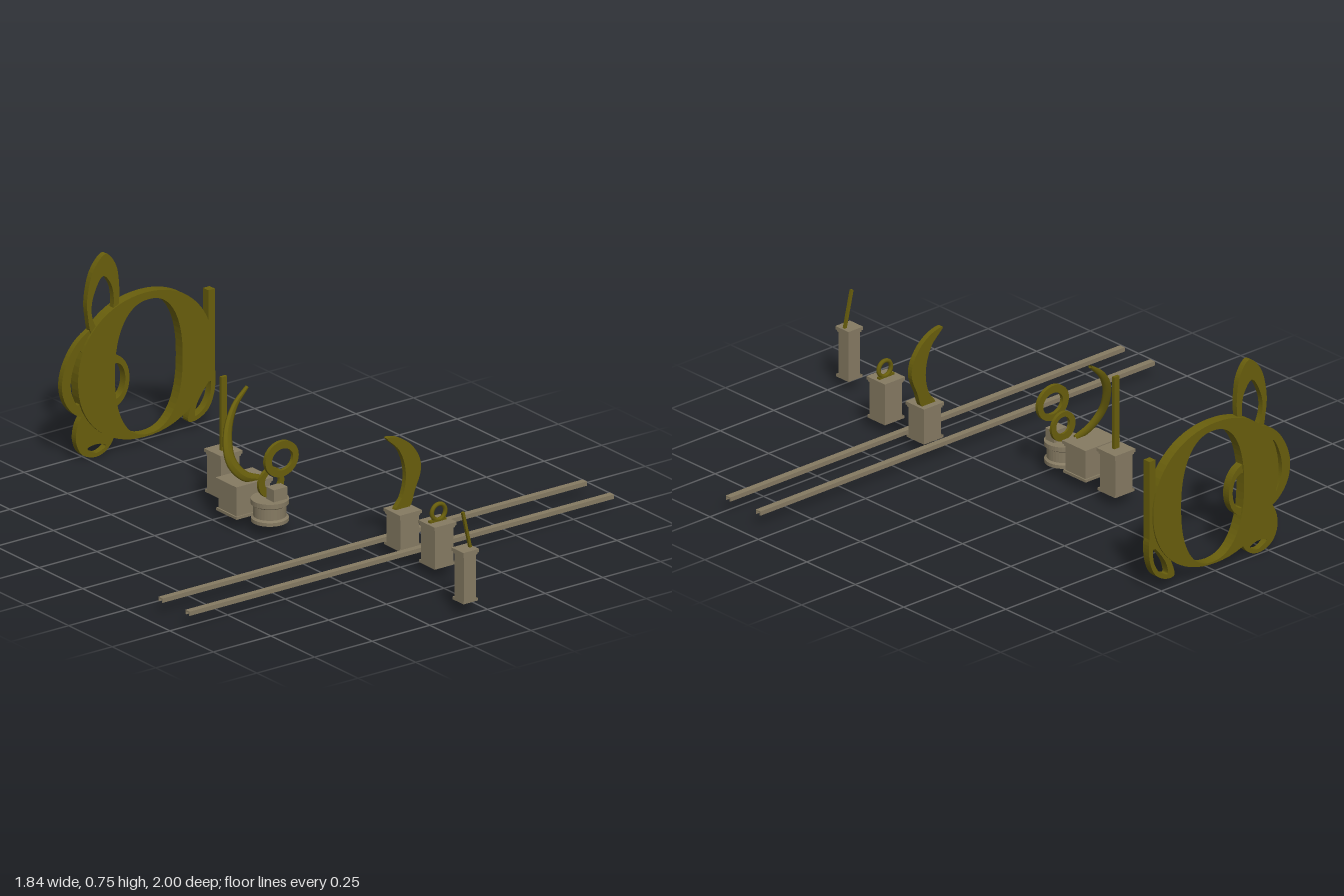
import * as THREE from 'three';

const stone = new THREE.MeshStandardMaterial({ color: 0x857a62, side: THREE.DoubleSide });
stone.name = 'stone';
const bronze = new THREE.MeshStandardMaterial({ color: 0x685e0c, side: THREE.DoubleSide });
bronze.name = 'olive bronze';

export function createModel() {
  const model = new THREE.Group();
  const add = (name, geo, mat, x = 0, y = 0, z = 0, parent = model) => {
    const mesh = new THREE.Mesh(geo, mat);
    mesh.name = name;
    mesh.position.set(x, y, z);
    parent.add(mesh);
    return mesh;
  };
  const box = (name, mat, w, h, d, x, y, z, parent) =>
    add(name, new THREE.BoxGeometry(w, h, d), mat, x, y, z, parent);

  // Closed smooth outlines through a few points, extruded around a z centre
  const curvePoints = (pts) => new THREE.CatmullRomCurve3(
    pts.map(([x, y]) => new THREE.Vector3(x, y, 0)), true, 'centripetal')
    .getPoints(56).slice(0, -1).map((p) => new THREE.Vector2(p.x, p.y));
  const oval = (cx, cy, rx, ry, power = 2) => Array.from({ length: 64 }, (_, i) => {
    const a = i / 64 * Math.PI * 2, c = Math.cos(a), s = Math.sin(a), e = 2 / power;
    return new THREE.Vector2(cx + rx * Math.sign(c) * Math.abs(c) ** e,
      cy + ry * Math.sign(s) * Math.abs(s) ** e);
  });
  const plate = (name, outer, hole, depth, z, parent = model) => {
    const shape = new THREE.Shape(outer);
    if (hole) shape.holes.push(new THREE.Path(hole));
    const geo = new THREE.ExtrudeGeometry(shape, { depth, bevelEnabled: false });
    return add(name, geo, bronze, 0, 0, z - depth / 2, parent);
  };

  // Rails: long channels open underneath
  const profile = new THREE.Shape([[-.012, 0], [-.008, 0], [-.008, .011], [.008, .011],
    [.008, 0], [.012, 0], [.012, .016], [-.012, .016]].map((p) => new THREE.Vector2(...p)));
  for (const z of [0.34, 0.495]) {
    const geo = new THREE.ExtrudeGeometry(profile, { depth: 1.84, bevelEnabled: false });
    geo.rotateY(Math.PI / 2);
    add('rail', geo, stone, -0.92, 0.04, z);
  }

  // Pedestals: hollow shaft, open foot moulding and a wider cap
  const pedestal = (name, x, z, w, d, top, closed = false) => {
    const g = new THREE.Group();
    g.name = name;
    g.position.set(x, 0, z);
    model.add(g);
    const walls = (part, sx, sz, y0, y1) => {
      const geo = new THREE.CylinderGeometry(Math.SQRT1_2, Math.SQRT1_2, 1, 4, 1, !closed).toNonIndexed();
      geo.computeVertexNormals();
      geo.rotateY(Math.PI / 4);
      geo.scale(sx, y1 - y0, sz);
      add(part, geo, stone, 0, (y0 + y1) / 2, 0, g);
    };
    walls('foot', w - 0.004, d - 0.004, 0.043, 0.053);
    walls('shaft', w - 0.015, d - 0.015, 0.043, top - 0.01);
    box('cap', stone, w, 0.012, d, 0, top - 0.006, 0, g);
    box('capMoulding', stone, w - 0.008, 0.008, d - 0.008, 0, top - 0.016, 0, g);
  };
  pedestal('frontPedestal', -0.07, 0.965, 0.068, 0.068, 0.235);
  pedestal('ringPedestal', 0.062, 0.63, 0.095, 0.095, 0.2);
  pedestal('crescentPedestal', 0.068, 0.422, 0.095, 0.095, 0.178);
  pedestal('ribbonPedestal', -0.17, -0.172, 0.16, 0.12, 0.165, true);
  pedestal('postPedestal', -0.128, -0.348, 0.095, 0.095, 0.204);

  // Round pedestal with stepped rims
  const round = [[0, .043], [.066, .043], [.066, .056], [.058, .062], [.058, .102],
    [.067, .108], [.067, .125], [0, .125]].map((p) => new THREE.Vector2(...p));
  const drum = new THREE.LatheGeometry(round, 32).toNonIndexed();
  drum.computeVertexNormals();
  add('roundPedestal', drum, stone, -0.155, 0, -0.045);
  box('ringBlock', stone, 0.06, 0.045, 0.045, -0.14, 0.147, -0.025);

  // Leaning rod, small ring and tall post
  const rod = box('leaningRod', bronze, 0.01, 0.142, 0.01, -0.065, 0.302, 0.965);
  rod.rotation.z = 0.23;
  add('smallRing', new THREE.TorusGeometry(0.029, 0.008, 8, 32), bronze, 0.067, 0.233, 0.63);
  box('smallRingFoot', bronze, 0.07, 0.008, 0.014, 0.062, 0.203, 0.63);
  box('tallPost', bronze, 0.024, 0.275, 0.012, -0.13, 0.34, -0.345);

  // Standing crescent
  plate('crescent', curvePoints([[.005, .452], [.05, .445], [.105, .41], [.145, .35], [.15, .3],
    [.125, .235], [.1, .175], [.04, .175], [.07, .22], [.085, .28], [.08, .34], [.055, .4]]),
  null, 0.02, 0.408);

  // Paired rings over the round pedestal
  plate('upperRing', oval(-0.122, 0.27, 0.072, 0.066), oval(-0.12, 0.268, 0.046, 0.04), 0.014, -0.025);
  plate('lowerRing', oval(-0.148, 0.18, 0.055, 0.055), oval(-0.145, 0.185, 0.032, 0.032), 0.012, -0.05);

  // Curling ribbon: tapered diamond sections swept along a curve
  const path = new THREE.CatmullRomCurve3([[-.135, .165, -.13], [-.2, .19, -.134], [-.245, .25, -.15],
    [-.235, .34, -.182], [-.185, .42, -.21], [-.12, .475, -.223]].map((p) => new THREE.Vector3(...p)));
  const ribbon = new THREE.TubeGeometry(path, 40, 1, 8, false);
  const pos = ribbon.attributes.position, v = new THREE.Vector3();
  for (let i = 0; i <= 40; i++) {
    const c = path.getPointAt(i / 40), r = 0.005 + 0.016 * Math.sin(Math.PI * (0.2 + 0.78 * i / 40));
    for (let j = 0; j <= 8; j++) {
      const k = i * 9 + j;
      v.fromBufferAttribute(pos, k).sub(c);
      pos.setXYZ(k, c.x + v.x * r, c.y + v.y * r, c.z + v.z * 0.008);
    }
  }
  ribbon.computeVertexNormals();
  add('curlingRibbon', ribbon, bronze);

  // Large upright ring with its loops
  const gate = new THREE.Group();
  gate.name = 'greatRing';
  model.add(gate);
  const Z = -0.979;
  plate('ringBody', oval(-0.005, 0.298, 0.292, 0.268, 2.1), oval(0.01, 0.288, 0.147, 0.25, 2.3), 0.04, Z, gate);
  plate('topLeaf', curvePoints([[-.172, .748], [-.13, .7], [-.115, .62], [-.118, .54], [-.14, .45],
    [-.225, .45], [-.25, .53], [-.253, .6], [-.225, .7]]),
  curvePoints([[-.185, .668], [-.15, .63], [-.138, .56], [-.155, .49], [-.195, .465], [-.23, .52],
    [-.23, .59]]), 0.022, Z + 0.004, gate);
  plate('sideLoop', curvePoints([[-.22, .48], [-.29, .445], [-.345, .365], [-.36, .29], [-.34, .22],
    [-.28, .165], [-.21, .17], [-.25, .25], [-.24, .36]]),
  curvePoints([[-.28, .41], [-.315, .34], [-.32, .27], [-.29, .21], [-.27, .25], [-.265, .33]]), 0.022, Z, gate);
  plate('innerCurl', oval(-0.15, 0.265, 0.08, 0.1), oval(-0.13, 0.265, 0.042, 0.066), 0.03, Z, gate);
  plate('lowerLeftLoop', curvePoints([[-.3, .08], [-.275, .025], [-.22, .002], [-.17, .014], [-.135, .06],
    [-.15, .15], [-.23, .2], [-.285, .15]]),
  curvePoints([[-.25, .04], [-.21, .016], [-.17, .034], [-.205, .048]]), 0.024, Z, gate);
  plate('lowerRightLoop', curvePoints([[.3, .21], [.297, .12], [.27, .065], [.22, .037], [.185, .04],
    [.2, .1], [.25, .18], [.28, .24]]),
  curvePoints([[.28, .17], [.28, .12], [.255, .075], [.215, .054], [.22, .09], [.25, .14]]), 0.03, Z, gate);
  box('rightPost', bronze, 0.028, 0.34, 0.03, 0.286, 0.337, Z, gate);

  return model;
}
